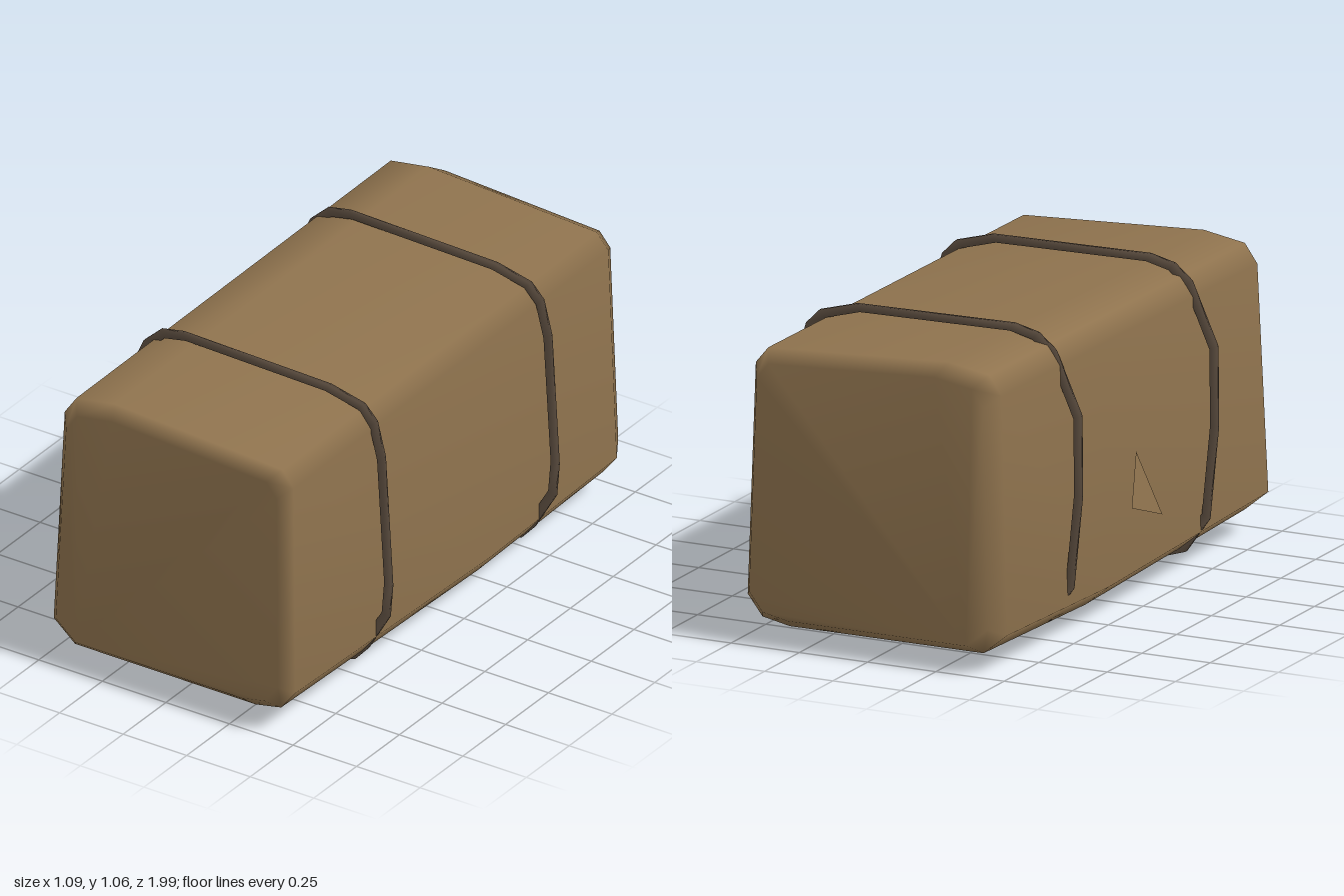
import * as THREE from 'three';

// Skin a list of equal-sized point rings; either join the last ring to the first or cap both ends.
function loft(rings, joined) {
  const n = rings[0].length, count = rings.length, index = [];
  const at = (i, j) => (i % count) * n + (j % n);
  for (let i = 0; i < (joined ? count : count - 1); i++) {
    for (let j = 0; j < n; j++) {
      const a = at(i, j), b = at(i, j + 1), c = at(i + 1, j + 1), d = at(i + 1, j);
      index.push(a, b, c, a, c, d);
    }
  }
  if (!joined) {
    for (let j = 1; j < n - 1; j++) {
      index.push(at(0, 0), at(0, j + 1), at(0, j));
      index.push(at(count - 1, 0), at(count - 1, j), at(count - 1, j + 1));
    }
  }
  const geometry = new THREE.BufferGeometry();
  geometry.setAttribute('position', new THREE.Float32BufferAttribute(rings.flat(2), 3));
  geometry.setIndex(index);
  geometry.computeVertexNormals();
  return geometry;
}

export function createModel() {
  const group = new THREE.Group();
  const straw = new THREE.MeshStandardMaterial({ color: 0x8f734e, side: THREE.DoubleSide });
  straw.name = 'straw brown';
  const twine = new THREE.MeshStandardMaterial({ color: 0x5f5042, side: THREE.DoubleSide });
  twine.name = 'dark twine';
  const add = (name, geometry, material) => {
    const mesh = new THREE.Mesh(geometry, material);
    mesh.name = name;
    group.add(mesh);
    return mesh;
  };

  // Bale: uneven rounded square, drawn in at both ends, sagging slightly in the middle
  const outline = [
    [-0.39, 0.07], [0.32, 0.07], [0.42, 0.09], [0.475, 0.16], [0.455, 0.93],
    [0.41, 0.985], [-0.25, 1.02], [-0.4, 0.995], [-0.445, 0.93], [-0.475, 0.14],
  ];
  const sections = [[-0.985, 0.92, 0], [-0.92, 1, 0], [-0.2, 1, 0.025], [0.94, 1, 0], [0.985, 0.92, 0]];
  const baleRings = sections.map(([z, scale, sag]) => outline.map(([x, y]) => [
    x * scale,
    0.53 + (y - 0.53) * scale - (y < 0.2 ? sag : 0) - z * (y > 0.5 ? 0.01 : -0.005),
    z + (Math.abs(z) > 0.9 ? Math.sign(z) * (0.53 - y) * 0.025 : 0),
  ]));
  add('bale', loft(baleRings, false), straw);

  // Twine loops: thin, loosely rounded bands standing just off the bale
  const loop = [
    [-0.25, 0.01], [0.15, 0.005], [0.3, 0.01], [0.4, 0.045], [0.45, 0.1], [0.53, 0.24],
    [0.54, 0.36], [0.515, 0.84], [0.48, 0.96], [0.43, 1.01], [0.3, 1.045], [-0.28, 1.055],
    [-0.37, 1.035], [-0.43, 0.98], [-0.525, 0.77], [-0.53, 0.5], [-0.495, 0.18], [-0.41, 0.06],
  ];
  const makeLoop = (name, zMid, dx, dy) => {
    const rings = loop.map(([x, y], i) => {
      const z = zMid + 0.004 * Math.sin(i * 2);
      const point = (s, dz) => [x * s + dx, 0.53 + (y - 0.53) * s + dy, z + dz];
      return [point(1, 0.007), point(1, -0.007), point(0.95, -0.007), point(0.95, 0.007)];
    });
    add(name, loft(rings, true), twine);
  };
  makeLoop('frontTwine', 0.47, -0.008, -0.003);
  makeLoop('backTwine', -0.485, 0.004, 0.003);

  // Loose flake of straw beside the right face
  const flake = new THREE.BufferGeometry();
  flake.setAttribute('position', new THREE.Float32BufferAttribute(
    [-0.54, 0.38, -0.16, -0.55, 0.31, 0.04, -0.515, 0.55, -0.08], 3));
  flake.computeVertexNormals();
  add('strawFlake', flake, straw);

  return group;
}
